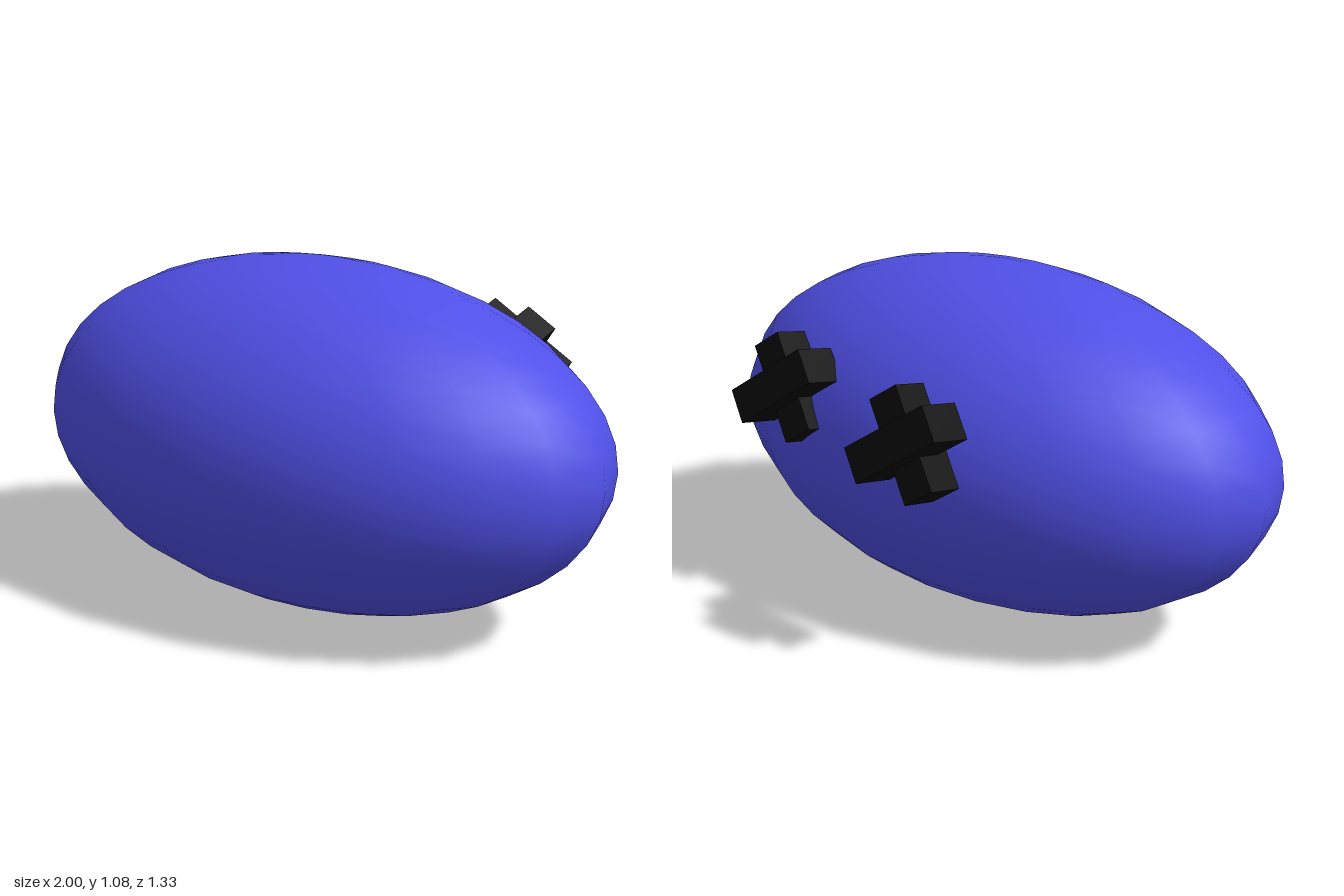
import * as THREE from 'three';

export function createModel() {
  const model = new THREE.Group();
  const blue = new THREE.MeshStandardMaterial({ color: 0x5050e8 });
  const black = new THREE.MeshStandardMaterial({ color: 0x0a0a0a });

  // Smooth ellipsoid body
  const body = new THREE.Mesh(new THREE.SphereGeometry(1, 20, 20), blue);
  body.name = 'body';
  body.scale.set(1, 0.541, 0.568);
  body.position.set(0, 0.541, 0.095);
  model.add(body);

  // Cross-shaped eye: two bars, the upright one set deeper
  function addEye(name, x, y, z) {
    const eye = new THREE.Group();
    eye.name = name;
    const crossBar = new THREE.Mesh(new THREE.BoxGeometry(0.323, 0.11, 0.139), black);
    crossBar.name = 'crossBar';
    const uprightBar = new THREE.Mesh(new THREE.BoxGeometry(0.11, 0.323, 0.118), black);
    uprightBar.name = 'uprightBar';
    uprightBar.position.set(0.012, 0, 0.05);
    eye.add(crossBar, uprightBar);
    eye.rotation.set(0.215, 0, -0.61);
    eye.position.set(x, y, z);
    model.add(eye);
  }
  addEye('rightEye', -0.22, 0.74, -0.567);
  addEye('leftEye', 0.388, 0.74, -0.452);

  return model;
}
